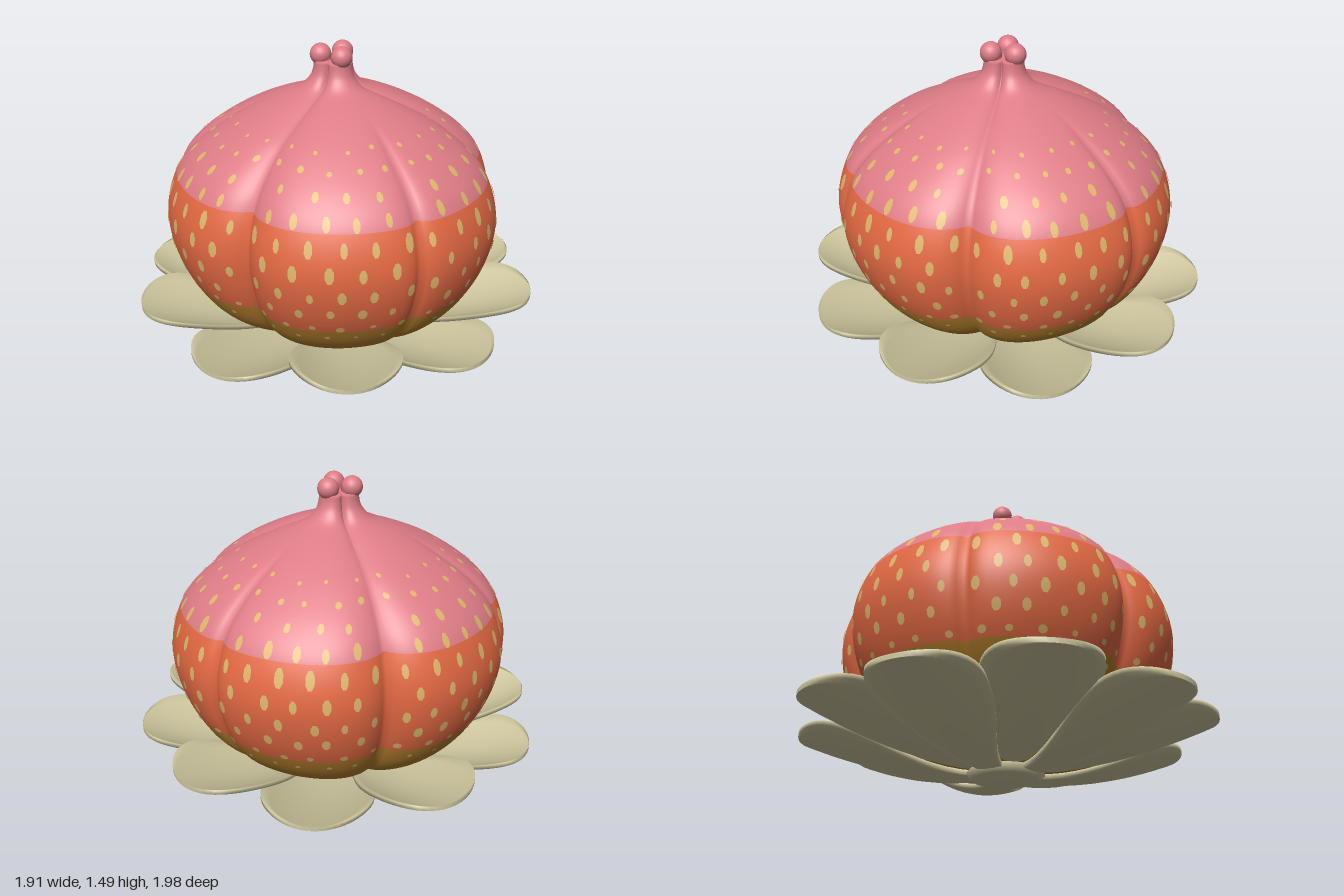
import * as THREE from 'three';

const mat = (name, color) => Object.assign(new THREE.MeshStandardMaterial({ color }), { name });
const rad = THREE.MathUtils.degToRad;
const smooth = THREE.MathUtils.smoothstep;

// Fruit outline as (radius, height)
const outline = new THREE.SplineCurve([
  [0.15, 0.08], [0.42, 0.13], [0.56, 0.2], [0.67, 0.3], [0.75, 0.43], [0.797, 0.56], [0.815, 0.69],
  [0.797, 0.81], [0.745, 0.93], [0.665, 1.02], [0.55, 1.105], [0.42, 1.18], [0.29, 1.24],
  [0.17, 1.285], [0.12, 1.33], [0.103, 1.37], [0.098, 1.41],
].map(([r, y]) => new THREE.Vector2(r, y))).getPoints(320);

function outlineRadius(y) {
  let i = 1;
  while (i < outline.length - 1 && outline[i].y < y) i++;
  const a = outline[i - 1], b = outline[i];
  return THREE.MathUtils.lerp(a.x, b.x, THREE.MathUtils.clamp((y - a.y) / (b.y - a.y), 0, 1));
}

// Three carpels: deep creases between them, a shallow crease down the middle of each
function fruitPoint(deg, y, lift = 0) {
  const m = (((deg - 30) % 120) + 120) % 120;
  const mid = Math.min(m, 120 - m);
  const neck = smooth(y, 1.12, 1.36);
  const deep = (0.14 + 0.3 * neck) * Math.exp(-(60 - mid) / (9 + 9 * neck));
  const shallow = 0.055 * (1 - smooth(y, 1.12, 1.27)) * Math.exp(-mid / 3);
  const r = outlineRadius(y) * (1 - deep - shallow) + lift;
  return new THREE.Vector3(r * Math.cos(rad(deg)), y, r * Math.sin(rad(deg)));
}

// Skin over a list of closed rings; bands = [[firstRow, lastRow], ...] become material groups
function loft(rings, bands = []) {
  const n = rings[0].length, index = [];
  for (let i = 0; i < rings.length - 1; i++) {
    for (let j = 0; j < n; j++) {
      const k = (j + 1) % n;
      const a = i * n + j, b = (i + 1) * n + j, c = i * n + k, d = (i + 1) * n + k;
      index.push(a, b, c, b, d, c);
    }
  }
  const g = new THREE.BufferGeometry().setFromPoints(rings.flat());
  g.setIndex(index);
  bands.forEach(([s, e], m) => g.addGroup(s * n * 6, (e - s) * n * 6, m));
  g.computeVertexNormals();
  return g;
}

// Fruit body in three colour bands
function fruitGeometry() {
  const levels = [[0.08, 0.42, 14], [0.42, 0.905, 16], [0.905, 1.41, 44]];
  const heights = [0.08], bands = [];
  for (const [y0, y1, steps] of levels) {
    const start = heights.length - 1;
    for (let i = 1; i <= steps; i++) heights.push(y0 + (y1 - y0) * i / steps);
    bands.push([start, heights.length - 1]);
  }
  const rings = heights.map(y => Array.from({ length: 180 }, (_, j) => fruitPoint(j * 2, y)));
  rings.push(Array.from({ length: 180 }, () => new THREE.Vector3(0, 1.415, 0)));
  bands[2][1]++;
  return loft(rings, bands);
}

// Rows of small oval spots lying on the skin
function spotGeometry() {
  let seed = 7;
  const jitter = () => ((seed = (seed * 16807) % 2147483647) / 2147483647) - 0.5;
  // height, count, width, spot height
  const rows = [
    [0.375, 36, 0.022, 0.02], [0.445, 36, 0.034, 0.03], [0.535, 36, 0.036, 0.05],
    [0.63, 36, 0.036, 0.06], [0.735, 36, 0.037, 0.07], [0.84, 36, 0.036, 0.075],
    [0.94, 36, 0.035, 0.06], [1.025, 30, 0.032, 0.036], [1.095, 30, 0.028, 0.02], [1.15, 24, 0.02, 0.012],
  ];
  const points = [], index = [], sides = 8;
  rows.forEach(([y, count, w, h], row) => {
    const step = 360 / count;
    for (let i = 0; i < count; i++) {
      const deg = (i + (row % 2 ? 0.5 : 0)) * step + jitter() * 2.5;
      const cy = y + jitter() * 0.015, size = 1 + jitter() * 0.35;
      const toCrease = Math.abs((((deg % 60) + 60) % 60) - 30);
      if (toCrease < 1.8) continue;
      const halfDeg = THREE.MathUtils.radToDeg(w * size / 2 / outlineRadius(cy));
      const base = points.length;
      points.push(fruitPoint(deg, cy, 0.005));
      for (let k = 0; k < sides; k++) {
        const a = k / sides * Math.PI * 2 + Math.PI / 8;
        points.push(fruitPoint(deg + halfDeg * Math.cos(a), cy + h * size / 2 * Math.sin(a), 0.005));
        index.push(base, base + 1 + (k + 1) % sides, base + 1 + k);
      }
    }
  });
  const g = new THREE.BufferGeometry().setFromPoints(points);
  g.setIndex(index);
  g.computeVertexNormals();
  return g;
}

// Cupped paddle-shaped petal pointing along +x
function petalGeometry() {
  const rings = [], across = 12, thick = 0.022;
  for (let i = 0; i <= 24; i++) {
    const r = 0.08 + 0.91 * Math.sin(i / 24 * Math.PI / 2);
    const w = r < 0.74 ? 0.05 + 0.2 * smooth(r, 0.08, 0.74)
      : Math.sqrt(Math.max(0, 0.0625 - (r - 0.74) ** 2));
    const rise = 0.05 + 0.205 * Math.max(0, (r - 0.1) / 0.89) ** 1.8;
    const ring = [];
    for (const side of [1, -1]) {
      for (let j = 0; j <= across; j++) {
        const z = side * w * (1 - 2 * j / across);
        ring.push(new THREE.Vector3(r, rise + 1.25 * z * z + (side > 0 ? thick : 0), z));
      }
    }
    rings.push(ring);
  }
  return loft(rings);
}

export function createModel() {
  const root = new THREE.Group();
  root.name = 'fruitOnPetals';
  const pink = mat('pink', 0xde7c86);
  const orange = mat('orange', 0xe26843);
  const ochre = mat('ochre', 0xb57f2d);
  const spot = mat('spotYellow', 0xdcb46a);
  const khaki = mat('paleKhaki', 0xd0c8a0);
  const add = (name, geometry, material) => {
    const mesh = new THREE.Mesh(geometry, material);
    mesh.name = name;
    root.add(mesh);
    return mesh;
  };

  add('fruitBody', fruitGeometry(), [ochre, orange, pink]);
  add('seedSpots', spotGeometry(), spot);

  // Three knobbed tips, one per carpel
  const stem = new THREE.CylinderGeometry(0.04, 0.046, 0.16, 16);
  const knob = new THREE.SphereGeometry(0.05, 20, 14);
  for (const deg of [30, 150, 270]) {
    const x = 0.066 * Math.cos(rad(deg)), z = 0.066 * Math.sin(rad(deg));
    add('tipStem', stem, pink).position.set(x * 0.85, 1.35, z * 0.85);
    add('tipKnob', knob, pink).position.set(x, 1.436, z);
  }

  // Ten petals, alternately lower and higher
  const petal = petalGeometry();
  for (let i = 0; i < 10; i++) {
    const p = add('petal', petal, khaki);
    p.rotation.y = rad(-90 + i * 36);
    p.position.y = i % 2 ? 0.03 : 0;
  }

  // Button under the petals
  const button = [[0, 0], [0.08, 0.018], [0.15, 0.04], [0.185, 0.062], [0.16, 0.09], [0, 0.1]];
  add('base', new THREE.LatheGeometry(button.map(([r, y]) => new THREE.Vector2(r, y)), 24), khaki);
  return root;
}
